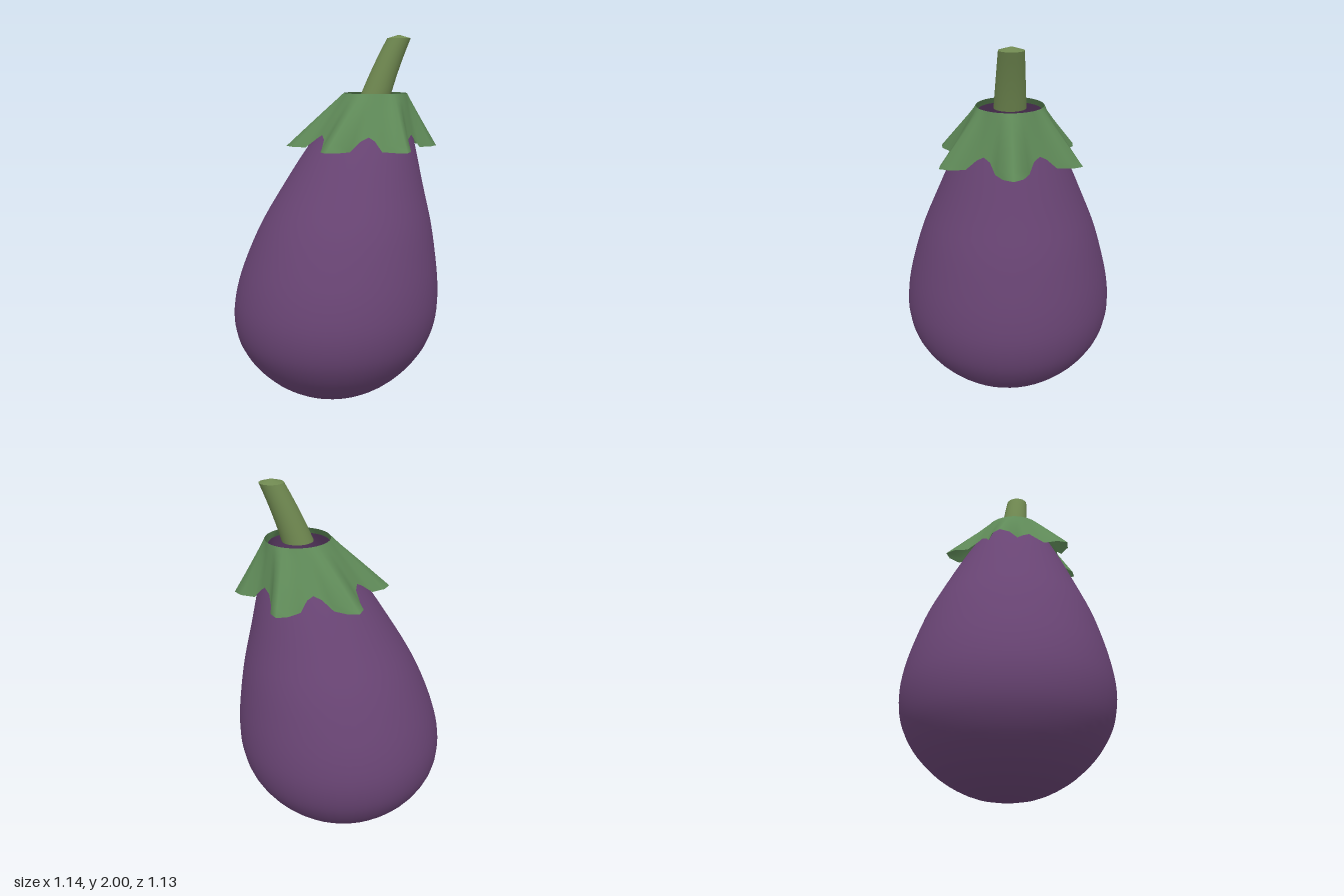
import * as THREE from 'three';
import { mergeVertices } from 'three/addons/utils/BufferGeometryUtils.js';

const SIDES = 48;

// Sideways lean of the fruit's axis at height y
const lean = (y) => 0.081 * y * y - 0.02;

// Moves every vertex by a rule, then welds the seam and smooths the normals
function reshape(geometry, rule) {
  const pos = geometry.attributes.position;
  const v = new THREE.Vector3();
  for (let i = 0; i < pos.count; i++) {
    v.fromBufferAttribute(pos, i);
    rule(v);
    pos.setXYZ(i, v.x, v.y, v.z);
  }
  geometry.deleteAttribute('uv');
  geometry.deleteAttribute('normal');
  const welded = mergeVertices(geometry, 1e-5);
  welded.computeVertexNormals();
  return welded;
}

function part(name, geometry, color) {
  const material = new THREE.MeshStandardMaterial({ color, side: THREE.DoubleSide });
  const mesh = new THREE.Mesh(geometry, material);
  mesh.name = name;
  return mesh;
}

// Pear-shaped fruit, open at the neck
function makeBody() {
  const profile = [
    [0, 0], [0.17, 0.027], [0.32, 0.1], [0.435, 0.2], [0.508, 0.3], [0.55, 0.4],
    [0.567, 0.52], [0.557, 0.65], [0.525, 0.8], [0.465, 1], [0.383, 1.2],
    [0.288, 1.42], [0.205, 1.59], [0.157, 1.675],
  ].map(([r, y]) => new THREE.Vector2(r, y));
  const points = new THREE.SplineCurve(profile).getPoints(40);
  points[0].x = 0;
  return reshape(new THREE.LatheGeometry(points, SIDES), (v) => { v.x += lean(v.y); });
}

// Flared collar with six lobes and arched gaps between them
function makeCalyx() {
  const rows = 8;
  const points = [];
  for (let i = 0; i <= rows; i++) points.push(new THREE.Vector2(1, i / rows));
  return reshape(new THREE.LatheGeometry(points, SIDES), (v) => {
    const angle = Math.atan2(v.z, v.x);
    const t = 1 - v.y;
    const lobe = (1 + Math.cos(6 * angle)) / 2;
    const hemRadius = 0.268 + 0.137 * Math.pow(lobe, 1.6);
    const hemHeight = 1.42 + 0.07 * Math.max(0, 1 - 2 * lobe);
    const r = THREE.MathUtils.lerp(0.168, hemRadius, t);
    const y = THREE.MathUtils.lerp(1.7, hemHeight, t);
    v.set(Math.cos(angle) * r + lean(y), y, Math.sin(angle) * r);
  });
}

// Tapered, gently curved stalk
function makeStem() {
  const base = 1.685, top = 1.982;
  const geometry = new THREE.CylinderGeometry(0.062, 0.081, top - base, 24, 6, true);
  return reshape(geometry, (v) => {
    v.y += (base + top) / 2;
    const t = (v.y - base) / (top - base);
    v.x += 0.215 + 0.1 * t + 0.02 * t * t;
  });
}

export function createModel() {
  const model = new THREE.Group();
  model.name = 'eggplant';
  const stemColor = 0x6f8850;
  model.add(part('body', makeBody(), 0x6a4575));
  model.add(part('calyx', makeCalyx(), 0x5f8a58));
  model.add(part('stem', makeStem(), stemColor));

  // Shallow cone closing the stalk
  const tip = part('stemTip', new THREE.ConeGeometry(0.062, 0.018, 24, 1, true), stemColor);
  tip.position.set(0.335, 1.991, 0);
  model.add(tip);

  // Flat underside of the stalk
  const foot = part('stemBase', new THREE.CircleGeometry(0.081, 24), stemColor);
  foot.rotation.x = Math.PI / 2;
  foot.position.set(0.215, 1.685, 0);
  model.add(foot);
  return model;
}
